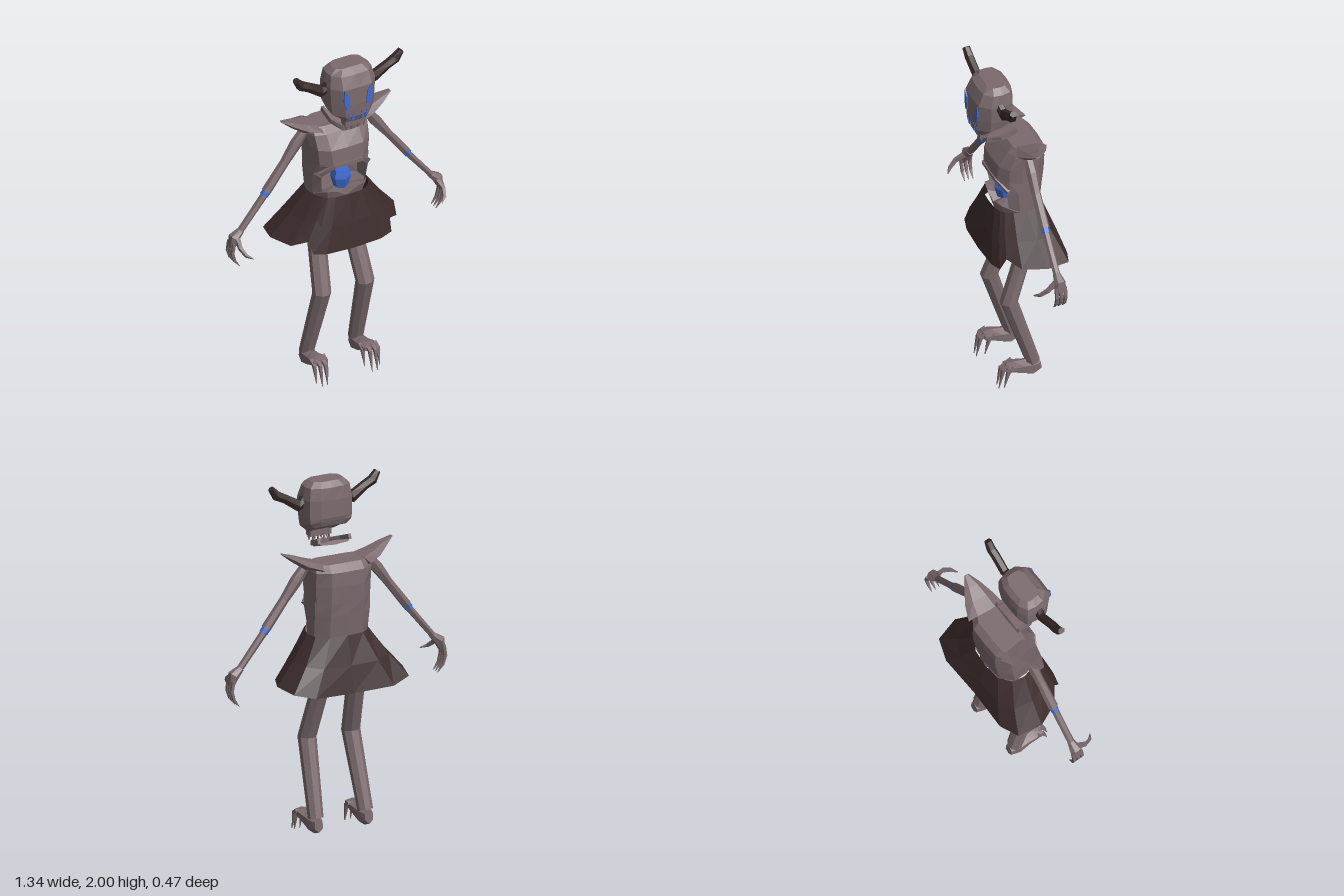
import * as THREE from 'three';

const bone = new THREE.MeshStandardMaterial({ color: 0x7b6a6e, side: THREE.DoubleSide });
bone.name = 'bone';
const cloth = new THREE.MeshStandardMaterial({ color: 0x3d2c2c, side: THREE.DoubleSide });
cloth.name = 'dark cloth';
const horn = new THREE.MeshStandardMaterial({ color: 0x382929 });
horn.name = 'dark horn';
const glow = new THREE.MeshStandardMaterial({ color: 0x3f6bd0 });
glow.name = 'blue glow';

const V = (x, y, z) => new THREE.Vector3(x, y, z);

function addMesh(parent, name, geometry, material) {
  const g = geometry.index ? geometry.toNonIndexed() : geometry;
  g.computeVertexNormals(); // facets
  const mesh = new THREE.Mesh(g, material);
  mesh.name = name;
  parent.add(mesh);
  return mesh;
}

// Skin between rings of points; rings may be open strips
function loft(rings, { closed = true, caps = true } = {}) {
  const out = [];
  const tri = (...pts) => pts.forEach(p => out.push(p.x, p.y, p.z));
  const n = rings[0].length;
  const count = closed ? n : n - 1;
  for (let i = 0; i < rings.length - 1; i++) {
    for (let j = 0; j < count; j++) {
      const k = (j + 1) % n, a = rings[i], b = rings[i + 1];
      tri(a[j], a[k], b[k]);
      tri(a[j], b[k], b[j]);
    }
  }
  if (closed && caps) {
    [rings[0], rings[rings.length - 1]].forEach((r, end) => {
      const c = r.reduce((s, p) => s.add(p), V(0, 0, 0)).divideScalar(n);
      for (let j = 0; j < n; j++) {
        const k = (j + 1) % n;
        end ? tri(c, r[j], r[k]) : tri(c, r[k], r[j]);
      }
    });
  }
  const g = new THREE.BufferGeometry();
  g.setAttribute('position', new THREE.Float32BufferAttribute(out, 3));
  return g;
}

// Tapered limb along points [x, y, z, radiusA, radiusB]; radiusB lies along ref
function limb(path, sides = 6, ref = V(0, 0, 1)) {
  const pts = path.map(p => V(p[0], p[1], p[2]));
  return loft(path.map((p, i) => {
    const t = pts[Math.min(i + 1, pts.length - 1)].clone().sub(pts[Math.max(i - 1, 0)]).normalize();
    const u = ref.clone().cross(t).normalize(), v = t.clone().cross(u);
    return Array.from({ length: sides }, (_, j) => {
      const a = (j + 0.5) / sides * Math.PI * 2;
      return pts[i].clone().addScaledVector(u, p[3] * Math.cos(a)).addScaledVector(v, (p[4] ?? p[3]) * Math.sin(a));
    });
  }));
}

// Full ring from a half running front centre -> +x -> back centre
function mirrorRing(half) {
  const first = half[0].x === 0 ? 1 : 0;
  return half.concat(half.slice(first, -1).reverse().map(p => V(-p.x, p.y, p.z)));
}
const flatRing = (y, half) => mirrorRing(half.map(([x, z]) => V(x, y, z)));
const ring = half => mirrorRing(half.map(p => V(...p)));

function plate(points, z) {
  const s = new THREE.Shape(points.map(p => new THREE.Vector2(...p)));
  return new THREE.ExtrudeGeometry(s, { depth: 0.009, bevelEnabled: false }).translate(0, 0, z);
}

function buildHead(root) {
  const head = new THREE.Group();
  head.name = 'head';
  root.add(head);
  addMesh(head, 'skull', loft([
    ring([[0, 1.67, .2], [.06, 1.675, .2], [.075, 1.69, .15], [.09, 1.72, .1], [.1, 1.74, .05], [.06, 1.75, .03], [0, 1.75, .03]]),
    ring([[0, 1.72, .225], [.07, 1.725, .225], [.125, 1.73, .17], [.13, 1.75, .1], [.125, 1.77, .04], [.07, 1.78, .02], [0, 1.78, .018]]),
    flatRing(1.8, [[0, .23], [.08, .228], [.135, .17], [.14, .1], [.13, .04], [.07, .015], [0, .013]]),
    flatRing(1.9, [[0, .228], [.09, .225], [.14, .17], [.142, .1], [.13, .04], [.07, .015], [0, .013]]),
    flatRing(1.97, [[0, .2], [.085, .195], [.125, .15], [.13, .1], [.12, .05], [.07, .025], [0, .02]]),
    flatRing(2, [[0, .16], [.06, .16], [.09, .14], [.095, .1], [.09, .07], [.05, .05], [0, .05]]),
  ]), bone);
  addMesh(head, 'snout', new THREE.BoxGeometry(.13, .035, .05).translate(0, 1.673, .18), bone);
  // Floating jaw
  const up = V(0, 1, 0);
  addMesh(head, 'jawRim', limb([[.095, 1.68, 0, .012, .022], [.09, 1.645, .09, .012, .02], [.05, 1.62, .155, .012, .02],
    [-.05, 1.62, .155, .012, .02], [-.09, 1.645, .09, .012, .02], [-.095, 1.68, 0, .012, .022]], 4, up), bone);
  addMesh(head, 'jawFloor', limb([[0, 1.66, 0, .1, .012], [0, 1.63, .09, .095, .012], [0, 1.608, .16, .055, .01]], 6, up), bone);
  for (const x of [-.055, -.02, .02, .055]) {
    addMesh(head, 'upperTooth', limb([[x, 1.67, .195, .013], [x, 1.625, .19, .002]], 4), bone);
    addMesh(head, 'lowerTooth', limb([[x * .9, 1.625, .155, .01], [x * .9, 1.665, .155, .002]], 4), bone);
  }
  for (const s of [1, -1]) {
    const m = pts => pts.map(([x, y]) => [x * s, y]);
    addMesh(head, 'eye', plate(m([[.085, 1.9], [.058, 1.865], [.05, 1.79], [.073, 1.775], [.088, 1.83]]), .224), glow);
    addMesh(head, 'nostril', plate(m([[.042, 1.7], [.02, 1.705], [.025, 1.755]]), .219), glow);
    addMesh(head, 'cheekSlit', plate(m([[.046, 1.705], [.062, 1.725], [.055, 1.762]]), .219), glow);
    addMesh(head, 'horn', limb([[.125 * s, 1.89, .115, .035, .026], [.165 * s, 1.865, .11, .036, .026],
      [.25 * s, 1.918, .115, .027, .026], [.295 * s, 1.94, .115, .03, .026], [.328 * s, 1.985, .12, .018, .022]]), horn);
  }
}

function buildTorso(root) {
  const torso = new THREE.Group();
  torso.name = 'torso';
  root.add(torso);
  addMesh(torso, 'chest', loft([
    flatRing(1.36, [[0, .125], [.09, .12], [.15, .07], [.17, 0], [.165, -.1], [.1, -.155], [0, -.155]]),
    flatRing(1.46, [[0, .115], [.1, .11], [.16, .07], [.175, 0], [.17, -.1], [.1, -.16], [0, -.163]]),
    flatRing(1.54, [[0, .06], [.1, .06], [.165, .04], [.185, -.02], [.17, -.11], [.1, -.155], [0, -.16]]),
    flatRing(1.58, [[0, .03], [.1, .03], [.16, .015], [.175, -.03], [.16, -.09], [.1, -.12], [0, -.12]]),
  ]), bone);
  // Lower ribs, open at the front around the core
  addMesh(torso, 'lowerRibs', loft([
    [1.15, [[.13, .06], [.165, .01], [.165, -.07], [.1, -.13], [0, -.135]]],
    [1.29, [[.145, .08], [.165, .02], [.17, -.09], [.1, -.145], [0, -.15]]],
    [1.37, [[.085, .122], [.155, .07], [.17, -.09], [.1, -.155], [0, -.155]]],
  ].map(([y, half]) => flatRing(y, half)), { closed: false }), bone);
  addMesh(torso, 'chestLedge', limb([[-.15, 1.31, .075, .02, .012], [-.085, 1.365, .12, .015, .012],
    [.085, 1.365, .12, .015, .012], [.15, 1.31, .075, .02, .012]], 4), bone);
  addMesh(torso, 'pelvis', loft([
    flatRing(1.06, [[0, .07], [.05, .07], [.09, .06], [.12, .02], [.11, -.06], [.06, -.1], [0, -.1]]),
    ring([[0, 1.15, .1], [.06, 1.19, .11], [.12, 1.2, .1], [.165, 1.17, .03], [.16, 1.16, -.07], [.08, 1.16, -.12], [0, 1.16, -.125]]),
  ]), bone);
  const profile = [[0, -.055], [.04, -.055], [.058, .01], [.045, .055], [0, .055]].map(p => new THREE.Vector2(...p));
  addMesh(torso, 'core', new THREE.LatheGeometry(profile, 6), glow).position.set(0, 1.233, .035);
  for (const s of [1, -1]) {
    addMesh(torso, 'shoulderSpike', limb([[.13 * s, 1.56, -.045, .025, .11], [.21 * s, 1.583, -.035, .028, .085],
      [.28 * s, 1.62, -.025, .018, .05], [.34 * s, 1.653, -.02, .003, .014]]), bone);
  }
}

function buildSkirt(root) {
  const top = [[0, .13], [.08, .125], [.12, .11], [.14, .09], [.165, .05], [.18, -.02], [.165, -.09], [.1, -.14], [0, -.15]]
    .map(([x, z]) => V(x, 1.17, z));
  const hem = [[0, .86, .19], [.17, .865, .185], [.245, .875, .165], [.255, .94, .13], [.33, .905, .07], [.387, .91, -.06],
    [.355, .895, -.195], [.24, .868, -.235], [0, .86, -.225]].map(p => V(...p));
  const mid = top.map((p, i) => p.clone().lerp(hem[i], .52).multiply(V(.97, 1, 1.02)));
  addMesh(root, 'skirt', loft([hem, mid, top].map(mirrorRing), { caps: false }), cloth);
  // Pale lining behind the front panel
  const inner = r => {
    const h = r.slice(0, 3).map(p => p.clone().add(V(-p.x * .03, .004, -.012)));
    return h.slice(1).reverse().map(p => V(-p.x, p.y, p.z)).concat(h);
  };
  addMesh(root, 'skirtLining', loft([inner(hem), inner(mid)], { closed: false }), bone);
}

function buildArm(root, s) {
  const arm = new THREE.Group();
  arm.name = s > 0 ? 'leftArm' : 'rightArm';
  root.add(arm);
  const part = (name, path, sides, ref, mat = bone) =>
    addMesh(arm, name, limb(path.map(([x, ...r]) => [x * s, ...r]), sides, ref), mat);
  part('upperArm', [[.195, 1.56, -.02, .025, .03], [.25, 1.485, -.02, .035, .03], [.32, 1.39, -.018, .026, .026], [.435, 1.24, -.018, .027, .029]]);
  part('elbowJoint', [[.425, 1.25, -.018, .025, .024], [.45, 1.218, -.018, .025, .024]], 6, undefined, glow);
  part('forearm', [[.442, 1.226, -.018, .021, .021], [.61, 1.02, -.02, .018, .02]]);
  part('hand', [[.59, 1.04, -.02, .02, .02], [.635, 1.005, -.02, .032, .034], [.652, .95, -.02, .016, .034]]);
  for (const z of [-.045, -.02, .005]) {
    part('finger', [[.65, .98, z, .013], [.66, .92, z, .012], [.645, .87, z, .01], [.613, .828, z, .002]], 4);
  }
  part('thumb', [[.625, 1, 0, .018], [.635, .97, .05, .014], [.62, .94, .09, .011], [.59, .925, .115, .003]], 4, V(1, 0, 0));
}

function buildLeg(root, s) {
  const leg = new THREE.Group();
  leg.name = s > 0 ? 'leftLeg' : 'rightLeg';
  root.add(leg);
  const part = (name, path, sides, ref) =>
    addMesh(leg, name, limb(path.map(([x, ...r]) => [x * s, ...r]), sides, ref), bone);
  part('shank', [[.09, 1.1, -.06, .05, .045], [.108, .88, -.048, .054, .045], [.135, .55, .066, .053, .05], [.153, .12, -.068, .044, .04]], 8);
  part('foot', [[.155, .09, -.108, .028, .04], [.155, .085, -.06, .044, .056], [.155, .1, 0, .046, .04],
    [.157, .118, .055, .054, .028], [.157, .122, .095, .048, .018]], 6, V(0, 1, 0));
  [[.115, .1, .02], [.14, .14, 0], [.172, .14, 0], [.198, .12, .015]].forEach(([x, z, y]) => {
    part('claw', [[x, .13, z - .06, .014], [x, .115, z - .025, .014], [x, y, z, .002]], 4, V(1, 0, 0));
  });
}

export function createModel() {
  const root = new THREE.Group();
  root.name = 'hornedSkeletonFigure';
  buildHead(root);
  buildTorso(root);
  buildSkirt(root);
  for (const s of [1, -1]) {
    buildArm(root, s);
    buildLeg(root, s);
  }
  return root;
}
